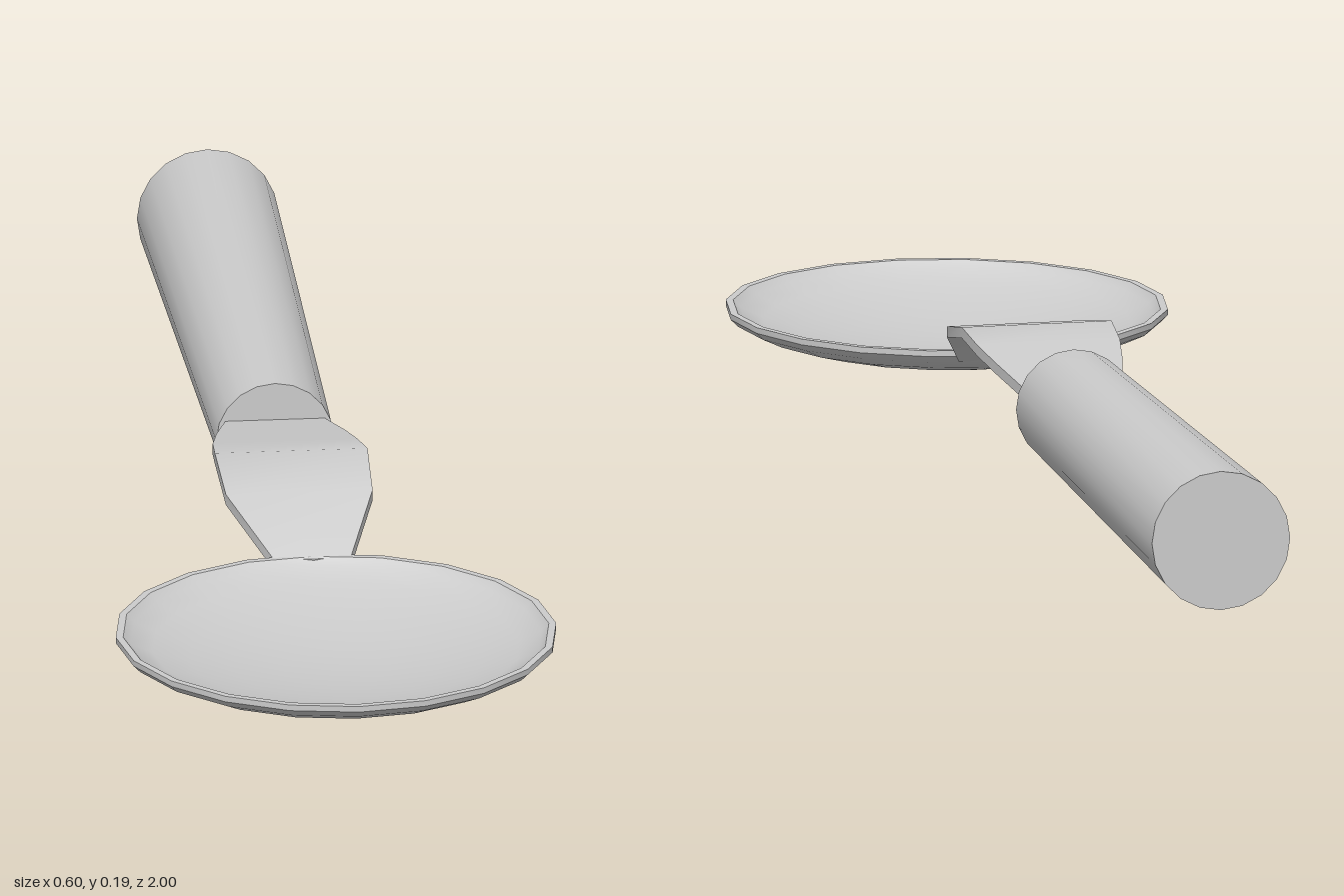
import * as THREE from 'three';
import { toCreasedNormals } from 'three/addons/utils/BufferGeometryUtils.js';

export function createModel() {
  const group = new THREE.Group();
  const material = new THREE.MeshStandardMaterial({ color: 0xcccccc });
  const add = (name, geometry, crease) => {
    const mesh = new THREE.Mesh(toCreasedNormals(geometry, crease), material);
    mesh.name = name;
    group.add(mesh);
    return mesh;
  };

  // Shallow bowl: outer shell, upright rim, then the inner hollow
  const profile = [
    [0, 0.015], [0.08, 0.019], [0.15, 0.029], [0.21, 0.042], [0.26, 0.056], [0.29, 0.07],
    [0.3, 0.08], [0.3, 0.088], [0.29, 0.088],
    [0.28, 0.078], [0.25, 0.065], [0.2, 0.052], [0.14, 0.04], [0.07, 0.032], [0, 0.03],
  ].map(([r, y]) => new THREE.Vector2(r, y));
  const bowl = add('bowl', new THREE.LatheGeometry(profile, 20).scale(1, 1, 1.05), 0.6);
  bowl.position.z = 0.68;

  // Bent flat neck: a segmented strip shaped by stations of z, top y, half width, centre x
  const stations = [
    [-0.14, 0.116, 0.055, -0.007], [-0.08, 0.126, 0.068, -0.007], [0.02, 0.143, 0.088, -0.009],
    [0.09, 0.154, 0.099, -0.01], [0.16, 0.165, 0.104, -0.009], [0.27, 0.144, 0.1, -0.009],
    [0.38, 0.086, 0.052, -0.002],
  ];
  const n = stations.length - 1;
  const strip = new THREE.BoxGeometry(1, 1, 1, 1, 1, n);
  const p = strip.attributes.position;
  for (let i = 0; i < p.count; i++) {
    const [z, top, half, cx] = stations[Math.round((p.getZ(i) + 0.5) * n)];
    p.setXYZ(i, cx + p.getX(i) * 2 * half, top - (p.getY(i) < 0 ? 0.015 : 0), z);
  }
  add('neck', strip, 0.7);

  // Round handle, widening toward the back
  const grip = new THREE.CylinderGeometry(0.096, 0.08, 0.92, 20).rotateX(-Math.PI / 2);
  const handle = add('handle', grip, 0.6);
  handle.position.set(-0.007, 0.098, -0.54);

  return group;
}
